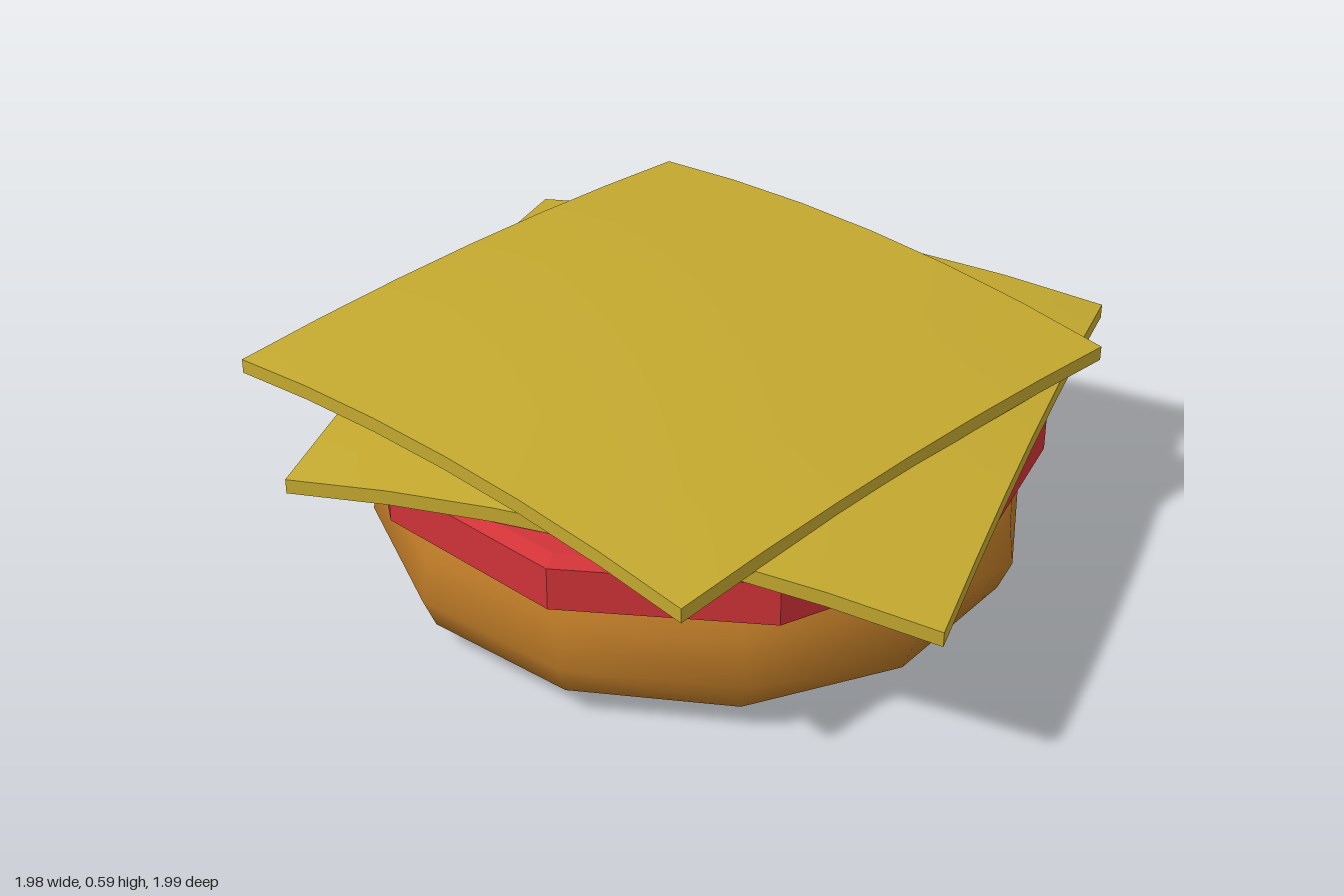
import * as THREE from 'three';

const material = (name, color, flatShading = false) => {
  const m = new THREE.MeshStandardMaterial({ color });
  m.name = name;
  m.flatShading = flatShading;
  return m;
};

const rad = THREE.MathUtils.degToRad;

// Turned shape from [radius, height] pairs, listed from bottom to top
function turned(profile, sides, startDegrees) {
  const points = profile.map(([r, y]) => new THREE.Vector2(r, y));
  return new THREE.LatheGeometry(points, sides, rad(startDegrees));
}

// Thin slab draped over the stack: it sags toward its edges and tilts a little
function drapedSlice({ width, depth, thickness, top, sagX, sagZ, tilt }) {
  const geometry = new THREE.BoxGeometry(width, thickness, depth, 6, 1, 6);
  const p = geometry.attributes.position;
  for (let i = 0; i < p.count; i++) {
    const s = p.getX(i) / (width / 2);
    const t = p.getZ(i) / (depth / 2);
    p.setY(i, p.getY(i) + top - thickness / 2 - sagX * s * s - sagZ * t * t - tilt * s);
  }
  geometry.computeVertexNormals();
  return geometry;
}

export function createModel() {
  const model = new THREE.Group();
  model.name = 'openSandwich';

  const bread = material('toasted bread', 0xb87726);
  const tomato = material('tomato red', 0xd03338, true);
  const cheese = material('cheese yellow', 0xc4a92f);

  const add = (parent, name, geometry, mat) => {
    const mesh = new THREE.Mesh(geometry, mat);
    mesh.name = name;
    parent.add(mesh);
    return mesh;
  };

  // Bottom bun: smooth rounded side with flat caps
  const bun = new THREE.Group();
  bun.name = 'bottomBun';
  bun.position.set(0.075, 0, 0.027);
  model.add(bun);
  const bunProfile = [[0.66, 0], [0.77, 0.07], [0.803, 0.15], [0.79, 0.26], [0.74, 0.315]];
  add(bun, 'bunSide', turned(bunProfile, 12, 22), bread);
  add(bun, 'bunBase', turned([[0, 0], bunProfile[0]], 12, 22), bread);
  add(bun, 'bunTop', turned([bunProfile[4], [0, 0.315]], 12, 22), bread);

  // Tomato slice: ten-sided disc with a small bevel
  const slice = add(model, 'tomatoSlice', turned(
    [[0, 0.315], [0.8, 0.315], [0.825, 0.332], [0.825, 0.44], [0.79, 0.458], [0, 0.458]], 10, 27,
  ), tomato);
  slice.position.set(0.08, 0, 0.032);

  // Two cheese slices, turned against each other
  const lower = add(model, 'lowerCheese', drapedSlice({
    width: 1.546, depth: 1.496, thickness: 0.037, top: 0.545, sagX: 0.06, sagZ: 0.042, tilt: 0.012,
  }), cheese);
  lower.position.set(0.115, 0, 0.017);
  lower.rotation.y = rad(-5);

  const upper = add(model, 'upperCheese', drapedSlice({
    width: 1.45, depth: 1.485, thickness: 0.037, top: 0.587, sagX: 0.05, sagZ: 0.027, tilt: 0.005,
  }), cheese);
  upper.rotation.y = rad(-27.8);

  return model;
}
